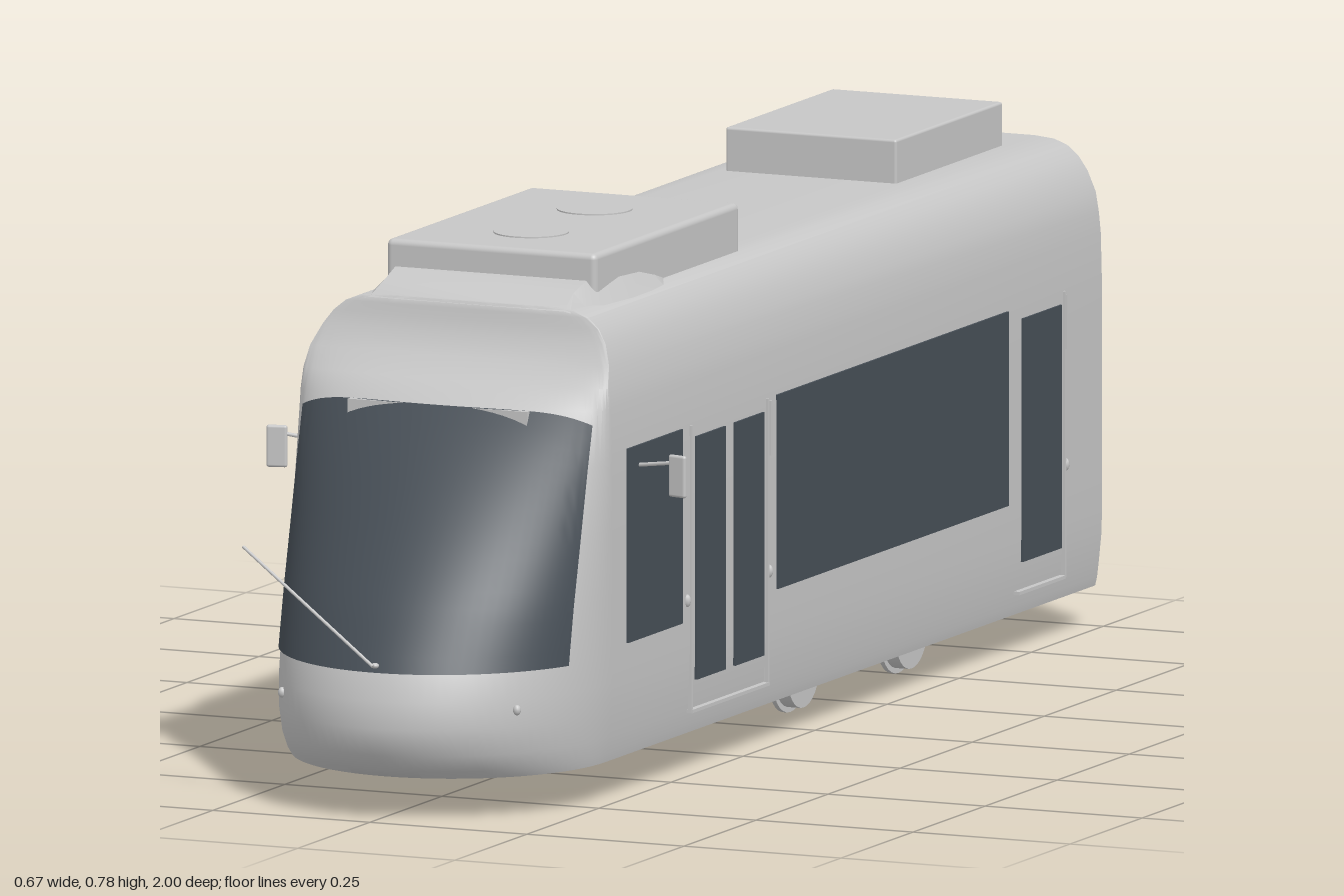
import * as THREE from 'three';
import { toCreasedNormals } from 'three/addons/utils/BufferGeometryUtils.js';
import { RoundedBoxGeometry } from 'three/addons/geometries/RoundedBoxGeometry.js';

const paint = new THREE.MeshStandardMaterial({ color: 0xc6c6c6, side: THREE.DoubleSide });
paint.name = 'light grey paint';
const glass = new THREE.MeshStandardMaterial({ color: 0x474f57, side: THREE.DoubleSide });
glass.name = 'dark glass';

// Body profile: height, half width, z of the nose tip
const PROFILE = [
  [0.062, 0.237, 0.945], [0.075, 0.24, 0.965], [0.1, 0.243, 0.99], [0.14, 0.247, 1],
  [0.18, 0.248, 0.995], [0.225, 0.248, 0.98], [0.3, 0.248, 0.941], [0.4, 0.248, 0.877],
  [0.5, 0.248, 0.815], [0.58, 0.246, 0.764], [0.61, 0.243, 0.725], [0.64, 0.238, 0.692],
  [0.67, 0.225, 0.676], [0.69, 0.211, 0.669], [0.705, 0.193, 0.666], [0.713, 0.172, 0.664],
  [0.716, 0.14, 0.662],
];
const noseStart = (tip) => Math.min(0.7, tip - 0.004);

function profileAt(y) {
  let i = 1;
  while (i < PROFILE.length - 1 && PROFILE[i][0] < y) i++;
  const a = PROFILE[i - 1], b = PROFILE[i];
  const f = (y - a[0]) / (b[0] - a[0]);
  return [a[1] + (b[1] - a[1]) * f, a[2] + (b[2] - a[2]) * f];
}

// Skin over rows of points, with creases kept sharp
function loft(rows, crease = 0.6) {
  const n = rows[0].length, index = [];
  for (let i = 0; i < rows.length - 1; i++) {
    for (let j = 0; j < n - 1; j++) {
      const a = i * n + j, b = a + n;
      index.push(a, a + 1, b + 1, a, b + 1, b);
    }
  }
  const g = new THREE.BufferGeometry();
  g.setAttribute('position', new THREE.Float32BufferAttribute(rows.flat(2), 3));
  g.setIndex(index);
  return toCreasedNormals(g.toNonIndexed(), crease);
}

// U-shaped outline of the body at one height
function bodyRow(y, w, tip) {
  const zb = noseStart(tip), row = [[w, y, -1]];
  for (let k = 0; k <= 40; k++) {
    const t = Math.PI * k / 40;
    row.push([w * Math.cos(t), y, zb + (tip - zb) * Math.sin(t)]);
  }
  row.push([-w, y, -1]);
  return row;
}

// Curved windscreen following the nose at a small offset
function windscreen(offset) {
  const rows = [];
  for (let i = 0; i <= 16; i++) {
    const row = [];
    for (let j = 0; j <= 40; j++) {
      const s = Math.cos(Math.PI * j / 40);
      const y = 0.22 + (0.36 - 0.02 * s ** 6) * i / 16;
      const [w, tip] = profileAt(y), zb = noseStart(tip);
      const t = Math.acos(0.228 * s / w);
      row.push([(w + offset) * Math.cos(t), y, zb + (tip - zb + offset) * Math.sin(t)]);
    }
    rows.push(row);
  }
  return loft(rows, 1);
}

export function createModel() {
  const model = new THREE.Group();
  model.name = 'tram';

  function add(name, geometry, material, x = 0, y = 0, z = 0) {
    const m = new THREE.Mesh(geometry, material);
    m.name = name;
    m.position.set(x, y, z);
    model.add(m);
    return m;
  }
  const box = (name, w, h, d, x, y, z, material = paint) =>
    add(name, new THREE.BoxGeometry(w, h, d), material, x, y, z);
  function rod(name, a, b, r, sides = 8) {
    const p = new THREE.Vector3(...a), q = new THREE.Vector3(...b);
    const m = add(name, new THREE.CylinderGeometry(r, r, p.distanceTo(q), sides), paint);
    m.position.copy(p).lerp(q, 0.5);
    m.quaternion.setFromUnitVectors(new THREE.Vector3(0, 1, 0), q.sub(p).normalize());
    return m;
  }

  // Body shell, closed below and along the roof
  const first = PROFILE[0], last = PROFILE[PROFILE.length - 1];
  const rows = [[first[0], 0, first[2]], ...PROFILE, [last[0], 0, last[2]]];
  add('bodyShell', loft(rows.map((r) => bodyRow(...r))), paint);
  box('floor', 0.47, 0.012, 1.65, 0, 0.074, -0.165);

  // Open rear end with a rounded gangway
  const end = new THREE.Shape();
  PROFILE.forEach(([y, w], i) => (i ? end.lineTo(w - 0.002, y) : end.moveTo(w - 0.002, y)));
  [...PROFILE].reverse().forEach(([y, w]) => end.lineTo(0.002 - w, y));
  const hole = new THREE.Path();
  hole.moveTo(-0.225, 0.08);
  hole.lineTo(-0.23, 0.47);
  hole.quadraticCurveTo(-0.23, 0.54, -0.16, 0.54);
  hole.lineTo(0.16, 0.54);
  hole.quadraticCurveTo(0.23, 0.54, 0.23, 0.47);
  hole.lineTo(0.225, 0.08);
  end.holes.push(hole);
  add('rearFrame', new THREE.ExtrudeGeometry(end, { depth: 0.01, bevelEnabled: false }), paint, 0, 0, -0.99);

  // Windscreen, destination box, wiper
  add('windscreen', windscreen(0.003), glass);
  add('windscreenInside', windscreen(-0.005), glass);
  box('destinationBox', 0.285, 0.024, 0.06, 0, 0.567, 0.736);
  rod('wiper', [0, 0.23, 0.99], [-0.23, 0.382, 0.938], 0.0025);
  const pivot = add('wiperPivot', new THREE.SphereGeometry(0.006, 12, 8), paint, 0, 0.23, 0.982);
  pivot.scale.y = 0.7;

  for (const s of [-1, 1]) {
    // Side windows and door glass: z centre, length, bottom, top
    for (const [name, z, len, y0, y1] of [
      ['cabWindow', 0.555, 0.19, 0.23, 0.515], ['frontDoorGlass', 0.362, 0.1, 0.14, 0.497],
      ['frontDoorGlass', 0.228, 0.1, 0.14, 0.497], ['saloonWindow', -0.27, 0.8, 0.23, 0.515],
      ['rearDoorGlass', -0.787, 0.134, 0.14, 0.497],
    ]) box(name, 0.009, y1 - y0, len, s * 0.2465, (y0 + y1) / 2, z, glass);

    // Door edge strips, sills and buttons
    for (const z of [0.428, 0.163, -0.867]) box('doorEdge', 0.006, 0.42, 0.005, s * 0.248, 0.305, z);
    box('frontDoorSill', 0.012, 0.005, 0.27, s * 0.246, 0.096, 0.295);
    box('rearDoorSill', 0.012, 0.005, 0.16, s * 0.246, 0.096, -0.785);
    for (const z of [0.44, 0.155, -0.873]) {
      const b = add('doorButton', new THREE.SphereGeometry(0.006, 10, 8), paint, s * 0.248, 0.26, z);
      b.scale.y = 1.6;
    }
    for (const z of [0.155, -0.87]) box('doorMarker', 0.012, 0.08, 0.006, s * 0.246, 0.47, z);

    // Mirror and its arm
    rod('mirrorArm', [s * 0.245, 0.485, 0.61], [s * 0.312, 0.495, 0.624], 0.003);
    const mirror = add('mirror', new RoundedBoxGeometry(0.031, 0.062, 0.008, 3, 0.004), paint, s * 0.319, 0.476, 0.627);
    mirror.rotation.y = -s * 0.25;

    // Head lamp
    const lamp = add('headLamp', new THREE.SphereGeometry(0.006, 12, 8), paint, s * 0.187, 0.165, 0.897);
    lamp.scale.y = 1.3;

    // Saloon seats, grab poles and rail
    for (const z of [-0.45, -0.25, -0.05]) {
      box('seat', 0.15, 0.02, 0.1, s * 0.16, 0.19, z);
      box('seatBase', 0.06, 0.1, 0.06, s * 0.19, 0.13, z);
      box('seatBack', 0.15, 0.13, 0.015, s * 0.16, 0.26, z - 0.05);
    }
    for (const z of [-0.68, -0.1, 0.14, 0.42]) rod('grabPole', [s * 0.12, 0.08, z], [s * 0.12, 0.7, z], 0.004);
    rod('grabRail', [s * 0.12, 0.56, -0.68], [s * 0.12, 0.56, 0.42], 0.003);

    // Wheels with flanges, brake discs and axle boxes
    for (const z of [-0.13, -0.505]) {
      rod('wheel', [s * 0.148, 0.067, z], [s * 0.172, 0.067, z], 0.056, 32);
      rod('wheelFlange', [s * 0.144, 0.067, z], [s * 0.151, 0.067, z], 0.064, 32);
      box('axleBox', 0.02, 0.016, 0.05, s * 0.18, 0.056, z);
      rod('brakeDisc', [s * 0.095, 0.058, z * 0.5 - 0.155], [s * 0.105, 0.058, z * 0.5 - 0.155], 0.03, 24);
    }
  }

  // Axles and drive units
  for (const z of [-0.13, -0.505]) rod('axle', [-0.15, 0.056, z], [0.15, 0.056, z], 0.007, 12);
  for (const z of [-0.22, -0.41]) rod('driveUnit', [-0.088, 0.048, z], [0.062, 0.048, z], 0.013, 16);

  // Roof equipment
  add('frontRoofUnit', new RoundedBoxGeometry(0.334, 0.083, 0.5, 3, 0.009), paint, 0, 0.742, 0.33);
  add('rearRoofUnit', new RoundedBoxGeometry(0.272, 0.08, 0.37, 3, 0.004), paint, 0, 0.74, -0.715);
  for (const z of [0.22, 0.44]) {
    add('roofFan', new THREE.CylinderGeometry(0.055, 0.055, 0.004, 32), paint, 0, 0.7835, z);
  }

  // Fairing around the front roof unit: z, base half width, top half width, top height
  const fairing = [
    [0.665, 0.165, 0.155, 0.712], [0.62, 0.172, 0.15, 0.732], [0.58, 0.18, 0.152, 0.744],
    [0.5, 0.19, 0.16, 0.748], [0.43, 0.189, 0.165, 0.738], [0.38, 0.183, 0.166, 0.725],
    [0.34, 0.166, 0.165, 0.714],
  ].map(([z, b, t, y]) => [[b, 0.71, z], [t, y, z], [-t, y, z], [-b, 0.71, z]]);
  add('roofFairing', loft(fairing), paint);

  return model;
}
